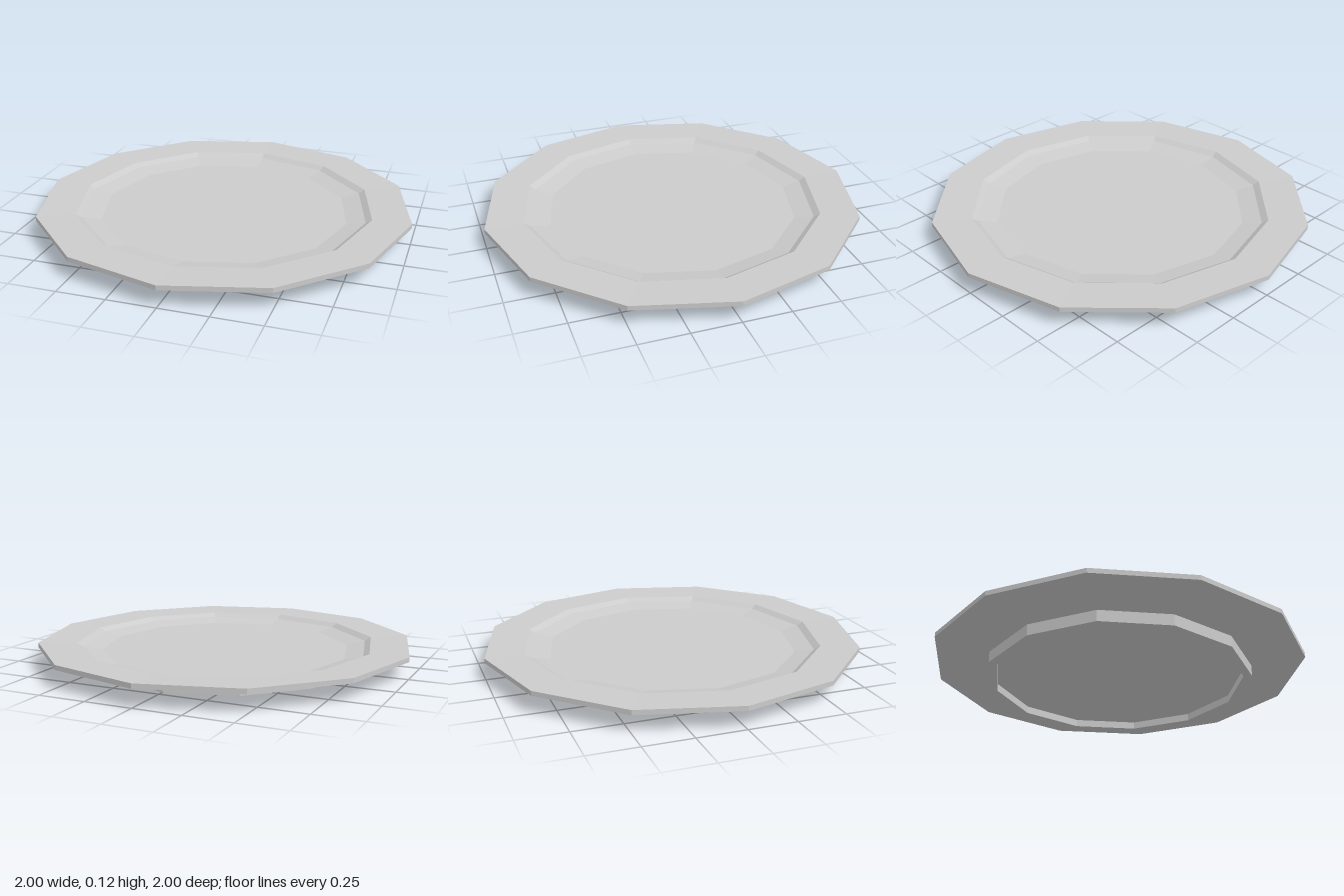
import * as THREE from 'three';

const SIDES = 12;

// Revolves [radius, height] pairs into a faceted ring or disc
function turned(name, profile, material) {
  const points = profile.map(([r, y]) => new THREE.Vector2(r, y));
  const mesh = new THREE.Mesh(new THREE.LatheGeometry(points, SIDES), material);
  mesh.name = name;
  return mesh;
}

export function createModel() {
  const group = new THREE.Group();
  group.name = 'plate';
  const material = new THREE.MeshStandardMaterial({ color: 0xcccccc, flatShading: true });

  // Foot ring with a recessed underside
  group.add(turned('foot', [
    [0, 0.04], [0.67, 0.04], [0.67, 0], [0.715, 0], [0.715, 0.06],
  ], material));

  // Wide rim: sloping underside, thin edge, nearly flat top
  group.add(turned('rim', [
    [0.715, 0.06], [1, 0.09], [1, 0.115], [0.797, 0.11],
  ], material));

  // Well: steep step, gentle slope, flat floor
  group.add(turned('well', [
    [0.797, 0.11], [0.765, 0.089], [0.665, 0.07], [0, 0.07],
  ], material));

  return group;
}
